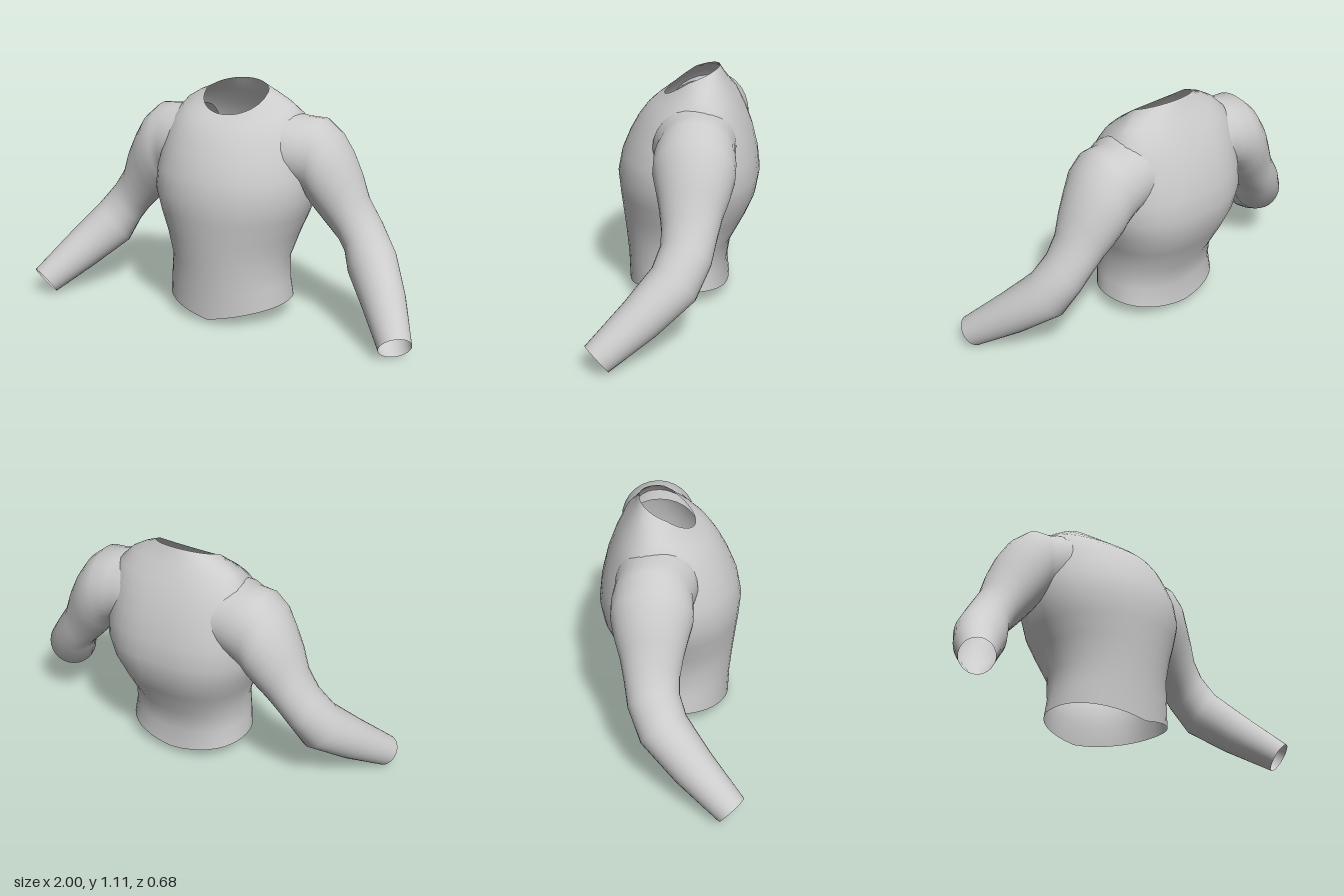
import * as THREE from 'three';

const material = new THREE.MeshStandardMaterial({ color: 0xcccccc, side: THREE.DoubleSide });

// Skin a list of closed rings (each an array of Vector3) into a smooth open surface
function loft(rings, flip = false) {
  const n = rings[0].length;
  const index = [];
  for (let i = 0; i < rings.length - 1; i++) {
    for (let j = 0; j < n; j++) {
      const k = (j + 1) % n;
      const a = i * n + j, b = i * n + k, c = a + n, d = b + n;
      if (flip) index.push(a, b, c, b, d, c);
      else index.push(a, c, b, b, c, d);
    }
  }
  const geometry = new THREE.BufferGeometry().setFromPoints(rings.flat());
  geometry.setIndex(index);
  geometry.computeVertexNormals();
  return geometry;
}

// Torso sections: [yFront, ySide, yBack, halfWidth, zFront, zBack, zCentre]
const torsoSections = [
  [0.018, 0.08, 0.03, 0.305, 0.285, -0.2, 0.03],
  [0.16, 0.17, 0.14, 0.294, 0.289, -0.19, 0.04],
  [0.28, 0.28, 0.25, 0.286, 0.3, -0.207, 0.03],
  [0.4, 0.4, 0.4, 0.322, 0.313, -0.282, 0.01],
  [0.5, 0.5, 0.5, 0.362, 0.324, -0.325, 0],
  [0.6, 0.6, 0.6, 0.39, 0.332, -0.342, 0],
  [0.7, 0.7, 0.7, 0.386, 0.312, -0.33, -0.01],
  [0.79, 0.79, 0.8, 0.37, 0.274, -0.305, -0.03],
  [0.86, 0.88, 0.89, 0.352, 0.235, -0.27, -0.05],
  [0.91, 0.96, 0.97, 0.322, 0.197, -0.23, -0.06],
  [0.94, 1.012, 1.035, 0.272, 0.163, -0.188, -0.055],
  [0.96, 1.045, 1.075, 0.212, 0.134, -0.165, -0.04],
  [0.975, 1.06, 1.108, 0.158, 0.11, -0.148, -0.02],
];

function torsoRing([yF, yS, yB, w, zF, zB, zC], level) {
  const ring = [];
  const segments = 40;
  // The back is squarer than the chest, except around the round neck
  const backPower = level < 10 ? 0.82 : 1;
  for (let j = 0; j < segments; j++) {
    const a = (j / segments) * Math.PI * 2;
    const c = Math.cos(a), s = Math.sin(a);
    const p = s < 0 ? backPower : 1;
    const x = w * Math.sign(c) * Math.abs(c) ** p;
    const depth = Math.abs(s) ** p;
    const z = zC + ((s < 0 ? zB : zF) - zC) * depth;
    // Hem dips to a point; upper sections tilt forward to the neckline
    const blend = level < 3 ? 1 - Math.abs(c) : depth;
    ring.push(new THREE.Vector3(x, yS + ((s < 0 ? yB : yF) - yS) * blend, z));
  }
  return ring;
}

// Sleeve sections: [x, y, z, upX, upY, halfHeight, halfDepth]
const sleeveSections = [
  [0.2, 0.81, -0.06, 0, 1, 0.17, 0.185],
  [0.3, 0.8, -0.062, 0, 1, 0.176, 0.188],
  [0.352, 0.787, -0.074, -0.03, 1, 0.18, 0.178],
  [0.406, 0.768, -0.076, 0.117, 1, 0.196, 0.184],
  [0.45, 0.725, -0.077, 0.286, 1, 0.184, 0.184],
  [0.498, 0.66, -0.078, 0.36, 1, 0.17, 0.164],
  [0.543, 0.588, -0.075, 0.47, 1, 0.147, 0.141],
  [0.589, 0.505, -0.073, 0.47, 1, 0.121, 0.124],
  [0.643, 0.424, -0.063, 0.75, 1, 0.108, 0.119],
  [0.705, 0.317, -0.018, 1, 0.95, 0.12, 0.118],
  [0.813, 0.195, 0.115, 1.1, 1, 0.103, 0.1],
  [0.93, 0.058, 0.283, 1, 0.75, 0.076, 0.075],
];

function sleeveRings(side) {
  const centres = sleeveSections.map(([x, y, z]) => new THREE.Vector3(x, y, z));
  const last = centres.length - 1;
  return sleeveSections.map(([, , , upX, upY, height, depth], i) => {
    const tangent = centres[Math.min(i + 1, last)].clone()
      .sub(centres[Math.max(i - 1, 0)]).normalize();
    const u = new THREE.Vector3(upX, upY, 0).normalize();
    const v = u.clone().cross(tangent).normalize();
    const ring = [];
    for (let j = 0; j < 28; j++) {
      const a = (j / 28) * Math.PI * 2;
      const p = centres[i].clone()
        .addScaledVector(u, Math.cos(a) * height)
        .addScaledVector(v, Math.sin(a) * depth);
      p.x *= side;
      ring.push(p);
    }
    return ring;
  });
}

export function createModel() {
  const group = new THREE.Group();
  group.name = 'longSleevedTop';

  const torso = new THREE.Mesh(loft(torsoSections.map(torsoRing)), material);
  torso.name = 'torso';
  group.add(torso);

  // Mirrored sleeves, open at the wrists
  for (const side of [1, -1]) {
    const sleeve = new THREE.Mesh(loft(sleeveRings(side), side < 0), material);
    sleeve.name = side > 0 ? 'leftSleeve' : 'rightSleeve';
    group.add(sleeve);
  }
  return group;
}
